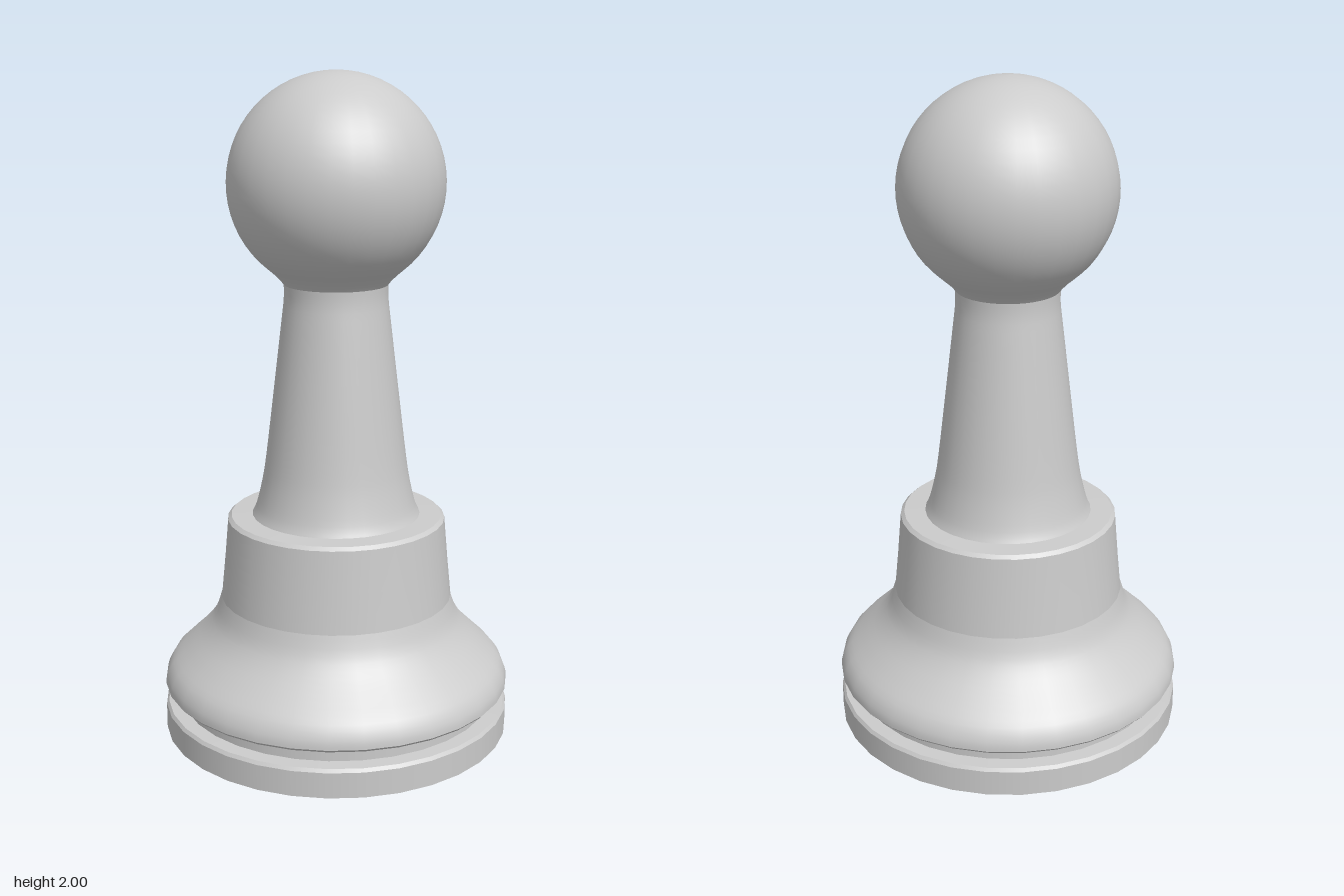
import * as THREE from 'three';

const SIDES = 32;
const material = new THREE.MeshStandardMaterial({ color: 0xcccccc });

// Each section is a smooth [radius, height] run, bottom to top; edges between sections stay sharp.
function turned(name, sections) {
  const part = new THREE.Group();
  part.name = name;
  sections.forEach((section, i) => {
    const points = section.map(([r, y]) => new THREE.Vector2(r, y));
    const mesh = new THREE.Mesh(new THREE.LatheGeometry(points, SIDES), material);
    mesh.name = `${name}Section${i + 1}`;
    part.add(mesh);
  });
  return part;
}

// Samples a smooth curve through a few profile points.
function smooth(points, steps) {
  const curve = new THREE.SplineCurve(points.map(([r, y]) => new THREE.Vector2(r, y)));
  return curve.getPoints(steps).map((p) => [p.x, p.y]);
}

// Ball profile, from the angle where it meets the neck flare up to the pole.
function ballProfile(radius, centreY, startAngle, steps) {
  const points = [];
  for (let i = 0; i <= steps; i++) {
    const a = startAngle + ((Math.PI - startAngle) * i) / steps;
    points.push([i === steps ? 0 : radius * Math.sin(a), centreY - radius * Math.cos(a)]);
  }
  return points;
}

export function createModel() {
  const model = new THREE.Group();
  model.name = 'pawn';

  // Foot disc with a slightly eased rim
  model.add(turned('foot', [
    [[0, 0], [0.532, 0]],
    [[0.532, 0], [0.532, 0.078]],
    [[0.532, 0.078], [0.525, 0.088]],
    [[0.525, 0.088], [0.482, 0.09]],
  ]));

  // Recessed groove above the foot
  model.add(turned('groove', [
    [[0.482, 0.09], [0.482, 0.138]],
    [[0.482, 0.138], [0.525, 0.14]],
  ]));

  // Bell-shaped skirt rising into the collar
  model.add(turned('skirt', [
    [[0.525, 0.14], [0.532, 0.148]],
    smooth([[0.532, 0.148], [0.528, 0.175], [0.508, 0.213], [0.46, 0.26],
      [0.41, 0.31], [0.375, 0.36], [0.354, 0.42]], 18),
  ]));

  // Collar with a narrow bevel and flat shoulder
  model.add(turned('collar', [
    [[0.354, 0.42], [0.342, 0.54], [0.331, 0.668]],
    [[0.331, 0.668], [0.32, 0.678]],
    [[0.32, 0.678], [0.255, 0.68]],
  ]));

  // Tapered stem
  model.add(turned('stem', [
    smooth([[0.255, 0.68], [0.242, 0.71], [0.225, 0.78], [0.212, 0.86],
      [0.19, 1.04], [0.164, 1.26], [0.155, 1.34], [0.155, 1.385]], 21),
  ]));

  // Ball head with a short flare underneath
  model.add(turned('head', [
    [[0.155, 1.385], [0.165, 1.398], [0.182, 1.415],
      ...ballProfile(0.32, 1.68, Math.asin(0.2 / 0.32), 24)],
  ]));

  return model;
}
